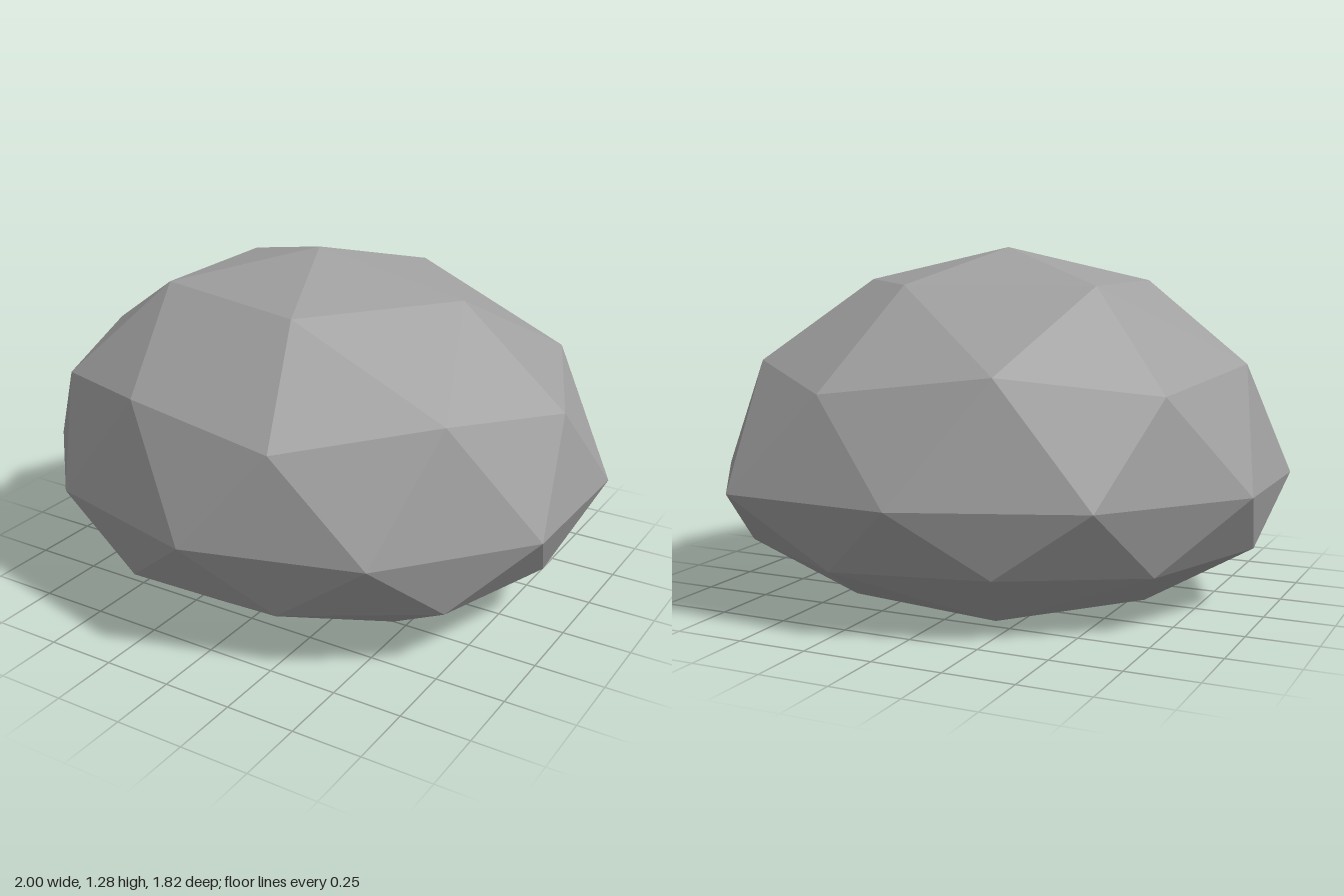
import * as THREE from 'three';

const stone = new THREE.MeshStandardMaterial({ color: 0xa0a0a0, flatShading: true });
stone.name = 'stone grey';

// A horizontal ring of corners at height y, from [x, z] pairs running from +x towards +z
const ring = (y, pairs) => pairs.map(([x, z]) => new THREE.Vector3(x, y, z));

function rockGeometry() {
  const top = new THREE.Vector3(0, 1.28, 0.03);
  const crown = ring(1.155, [[0.55, -0.02], [0.16, 0.465], [-0.45, 0.32], [-0.45, -0.23], [0.18, -0.44]]);
  const shoulder = ring(0.88, [[0.72, 0.43], [-0.29, 0.76], [-0.9, 0.07], [-0.28, -0.7], [0.72, -0.52]]);
  const upper = ring(0.81, [[0.93, -0.05], [0.27, 0.78], [-0.77, 0.52], [-0.76, -0.4], [0.3, -0.82]]);
  const waist = ring(0.46, [[0.995, 0.24], [0.6, 0.72], [-0.01, 0.905], [-0.62, 0.755], [-1, 0.345],
    [-1, -0.19], [-0.615, -0.665], [0.005, -0.91], [0.63, -0.88], [1, -0.35]]);
  const lower = ring(0.225, [[0.75, 0.455], [-0.3, 0.78], [-0.94, 0.07], [-0.29, -0.73], [0.75, -0.56]]);
  const skirt = ring(0.205, [[0.89, -0.045], [0.26, 0.73], [-0.73, 0.5], [-0.73, -0.4], [0.29, -0.785]]);
  const foot = ring(0, [[0.45, 0.25], [-0.17, 0.455], [-0.55, 0.03], [-0.17, -0.44], [0.45, -0.34]]);
  const base = new THREE.Vector3(0, 0, 0);

  // Each facet is turned to face away from the middle of the rock
  const middle = new THREE.Vector3(0, 0.5, 0);
  const corners = [];
  const facet = (a, b, c) => {
    const normal = b.clone().sub(a).cross(c.clone().sub(a));
    const outward = normal.dot(a.clone().sub(middle)) > 0;
    corners.push(...(outward ? [a, b, c] : [a, c, b]));
  };

  // Five matching sectors of facets
  for (let i = 0; i < 5; i++) {
    const n = (i + 1) % 5, p = (i + 4) % 5;
    const w0 = waist[2 * i], w1 = waist[2 * i + 1], wp = waist[(2 * i + 9) % 10];
    // dome
    facet(top, crown[i], crown[n]);
    facet(crown[i], shoulder[i], crown[n]);
    facet(crown[i], upper[i], shoulder[i]);
    facet(crown[n], shoulder[i], upper[n]);
    // sides down to the waist
    facet(upper[i], w0, shoulder[i]);
    facet(shoulder[i], w0, w1);
    facet(shoulder[i], w1, upper[n]);
    facet(upper[i], wp, w0);
    // below the waist
    facet(w0, lower[i], w1);
    facet(wp, skirt[i], w0);
    facet(wp, lower[p], skirt[i]);
    facet(w0, skirt[i], lower[i]);
    // underside and flat base
    facet(lower[p], foot[p], skirt[i]);
    facet(skirt[i], foot[p], foot[i]);
    facet(skirt[i], foot[i], lower[i]);
    facet(base, foot[i], foot[p]);
  }

  const geometry = new THREE.BufferGeometry().setFromPoints(corners);
  geometry.computeVertexNormals();
  return geometry;
}

export function createModel() {
  const group = new THREE.Group();
  group.name = 'rock';
  const boulder = new THREE.Mesh(rockGeometry(), stone);
  boulder.name = 'boulder';
  group.add(boulder);
  return group;
}
